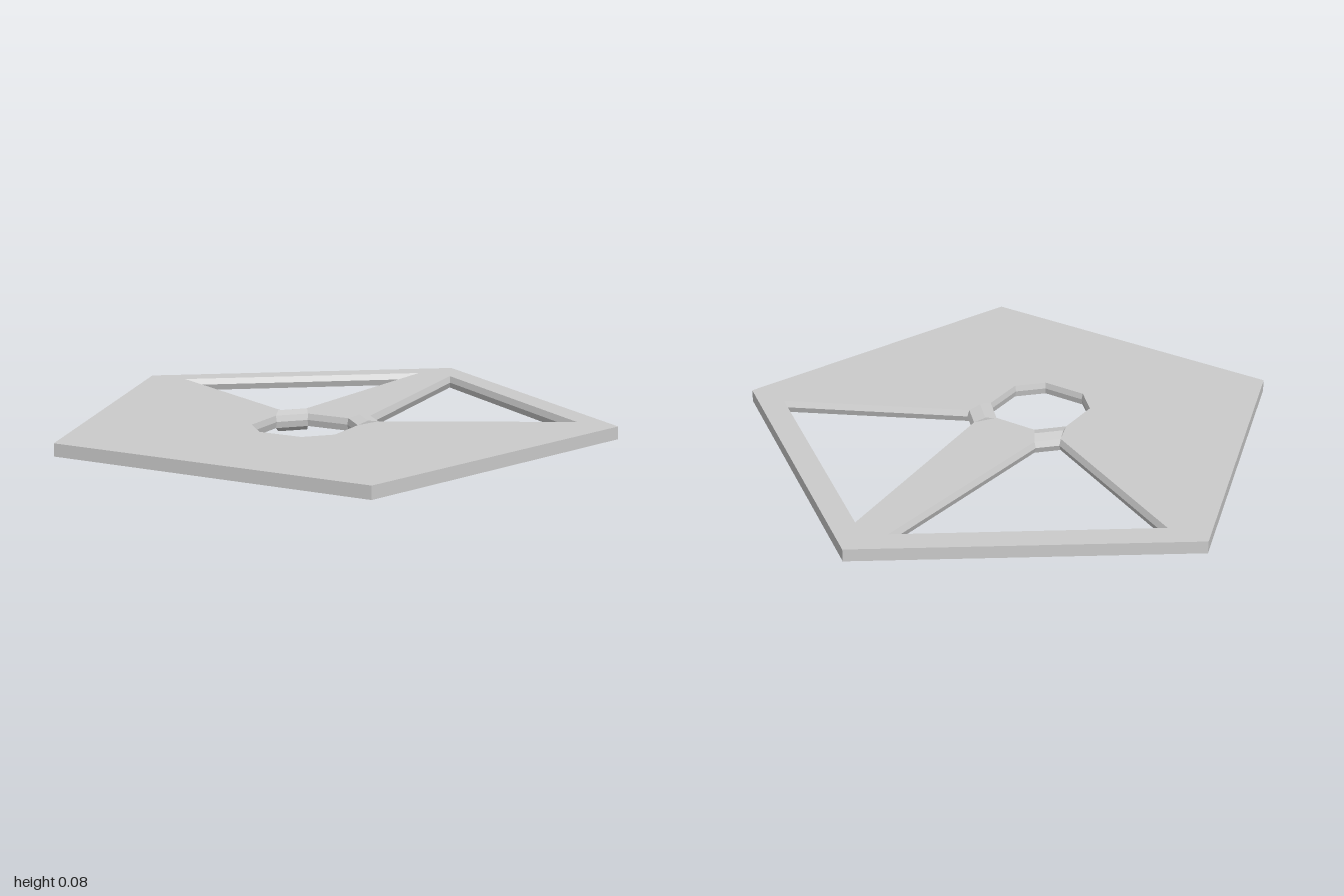
import * as THREE from 'three';
import { ConvexGeometry } from 'three/addons/geometries/ConvexGeometry.js';

const BOTTOM = 0.023, MID = 0.047, TOP = 0.07;

// Contours are [x, z] corners, running clockwise when seen from above
const outline = [[0, -0.95], [1, -0.225], [0.617, 0.95], [-0.617, 0.95], [-1, -0.225]];
const rightHole = [[0.07, -0.787], [0.842, -0.225], [0.205, 0.106], [0.135, 0.035]];
const leftHole = rightHole.map(([x, z]) => [-x, z]).reverse();
const octagon = [[-0.085, 0.112], [0.085, 0.112], [0.17, 0.2], [0.17, 0.372],
  [0.085, 0.46], [-0.085, 0.46], [-0.17, 0.372], [-0.17, 0.2]];

// Move every edge of a contour inwards by d
function inset(contour, d) {
  const n = contour.length;
  const normal = (a, b) => new THREE.Vector2(a[1] - b[1], b[0] - a[0]).normalize();
  return contour.map((p, i) => {
    const n1 = normal(contour[(i + n - 1) % n], p);
    const n2 = normal(p, contour[(i + 1) % n]);
    const k = d / (1 + n1.dot(n2));
    return [p[0] + (n1.x + n2.x) * k, p[1] + (n1.y + n2.y) * k];
  });
}

// Wall through a stack of contours, each { contour, y }, from bottom to top
function wall(levels, facesInwards) {
  const positions = [];
  for (let l = 0; l + 1 < levels.length; l++) {
    const low = levels[l], high = levels[l + 1], n = low.contour.length;
    const at = (level, i) => [level.contour[i % n][0], level.y, level.contour[i % n][1]];
    for (let i = 0; i < n; i++) {
      const a = at(low, i), b = at(low, i + 1), A = at(high, i), B = at(high, i + 1);
      const corners = facesInwards ? [a, b, B, a, B, A] : [b, a, A, b, A, B];
      positions.push(...corners.flat());
    }
  }
  const geometry = new THREE.BufferGeometry();
  geometry.setAttribute('position', new THREE.Float32BufferAttribute(positions, 3));
  geometry.computeVertexNormals();
  return geometry;
}

// Flat face of the plate with its three openings; side is 1 for top, -1 for bottom
function face(side) {
  const points = (contour) => contour.map(([x, z]) => new THREE.Vector2(x, -side * z));
  const shape = new THREE.Shape(points(outline));
  shape.holes = [rightHole, leftHole, octagon].map((c) => new THREE.Path(points(c)));
  return new THREE.ShapeGeometry(shape)
    .rotateX(-side * Math.PI / 2)
    .translate(0, side > 0 ? TOP : BOTTOM, 0);
}

// Ridged bridge between the octagon and one of the large openings
function bridge(side) {
  const outer = [rightHole[3], rightHole[2]], inner = [octagon[1], octagon[2]];
  const points = [];
  for (let i = 0; i < 2; i++) {
    const [p, q] = [outer[i], inner[i]];
    for (const [x, z] of [p, q]) {
      for (const y of [BOTTOM, TOP]) points.push(new THREE.Vector3(side * x, y, z));
    }
    for (const y of [0, 0.08]) {
      points.push(new THREE.Vector3(side * (p[0] + q[0]) / 2, y, (p[1] + q[1]) / 2));
    }
  }
  return new ConvexGeometry(points);
}

export function createModel() {
  const model = new THREE.Group();
  model.name = 'pentagonPlate';
  const material = new THREE.MeshStandardMaterial({ color: 0xcccccc, flatShading: true });
  const add = (name, geometry) => {
    const mesh = new THREE.Mesh(geometry, material);
    mesh.name = name;
    model.add(mesh);
  };

  // Plate
  add('topFace', face(1));
  add('bottomFace', face(-1));
  add('outerRim', wall([{ contour: outline, y: BOTTOM }, { contour: outline, y: TOP }], false));

  // Opening walls, slightly pointed at mid height
  const openings = { leftOpening: [rightHole, 0.009], rightOpening: [leftHole, 0.009], octagonOpening: [octagon, 0.005] };
  for (const [name, [contour, depth]] of Object.entries(openings)) {
    add(name, wall([
      { contour, y: BOTTOM },
      { contour: inset(contour, depth), y: MID },
      { contour, y: TOP },
    ], true));
  }

  // Raised bridges beside the octagon
  add('leftBridge', bridge(1));
  add('rightBridge', bridge(-1));
  return model;
}
